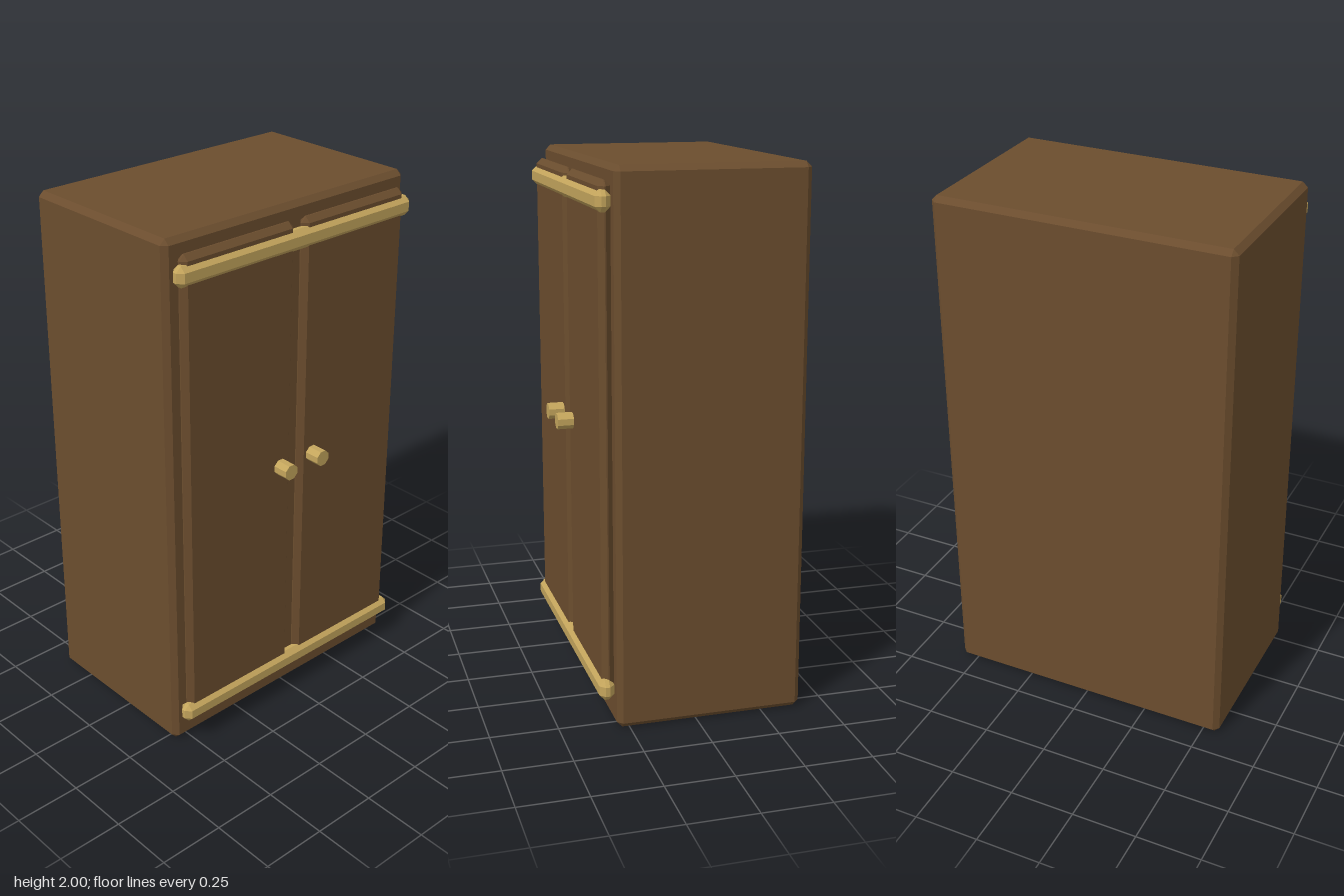
import * as THREE from 'three';
import { ConvexGeometry } from 'three/addons/geometries/ConvexGeometry.js';

const wood = new THREE.MeshStandardMaterial({ color: 0x6b4d2e });
wood.name = 'brown wood';
const brass = new THREE.MeshStandardMaterial({ color: 0xc4a55c });
brass.name = 'brass';

// Box with flat chamfered edges, given its extents and chamfer size
function chamferBox(name, [x0, x1], [y0, y1], [z0, z1], c, material) {
  const half = [(x1 - x0) / 2, (y1 - y0) / 2, (z1 - z0) / 2];
  const points = [];
  for (const sx of [-1, 1]) for (const sy of [-1, 1]) for (const sz of [-1, 1]) {
    for (let axis = 0; axis < 3; axis++) {
      const p = [sx, sy, sz].map((s, i) => s * (half[i] - (i === axis ? 0 : c)));
      points.push(new THREE.Vector3(...p));
    }
  }
  const mesh = new THREE.Mesh(new ConvexGeometry(points), material);
  mesh.position.set((x0 + x1) / 2, (y0 + y1) / 2, (z0 + z1) / 2);
  mesh.name = name;
  return mesh;
}

export function createModel() {
  const cabinet = new THREE.Group();
  cabinet.name = 'wardrobe';

  // Main carcass
  cabinet.add(chamferBox('body', [-0.565, 0.565], [0, 2], [-0.4, 0.295], 0.02, wood));

  // Doors and knobs, mirrored about the centre
  for (const side of [-1, 1]) {
    const label = side > 0 ? 'left' : 'right';
    const xs = [side * 0.02, side * 0.525].sort((a, b) => a - b);
    cabinet.add(chamferBox(label + 'Door', xs, [0.14, 1.95], [0.295, 0.34], 0.02, wood));

    const shape = new THREE.CylinderGeometry(0.031, 0.031, 0.07, 8).toNonIndexed();
    shape.rotateY(Math.PI / 8).rotateX(Math.PI / 2);
    shape.computeVertexNormals();
    const knob = new THREE.Mesh(shape, brass);
    knob.position.set(side * 0.08, 1.03, 0.365);
    knob.name = label + 'Knob';
    cabinet.add(knob);
  }

  // Brass rails across the top and bottom of the doors
  cabinet.add(chamferBox('topRail', [-0.55, 0.55], [1.845, 1.92], [0.3, 0.355], 0.02, brass));
  cabinet.add(chamferBox('bottomRail', [-0.55, 0.55], [0.105, 0.18], [0.3, 0.355], 0.02, brass));

  return cabinet;
}
